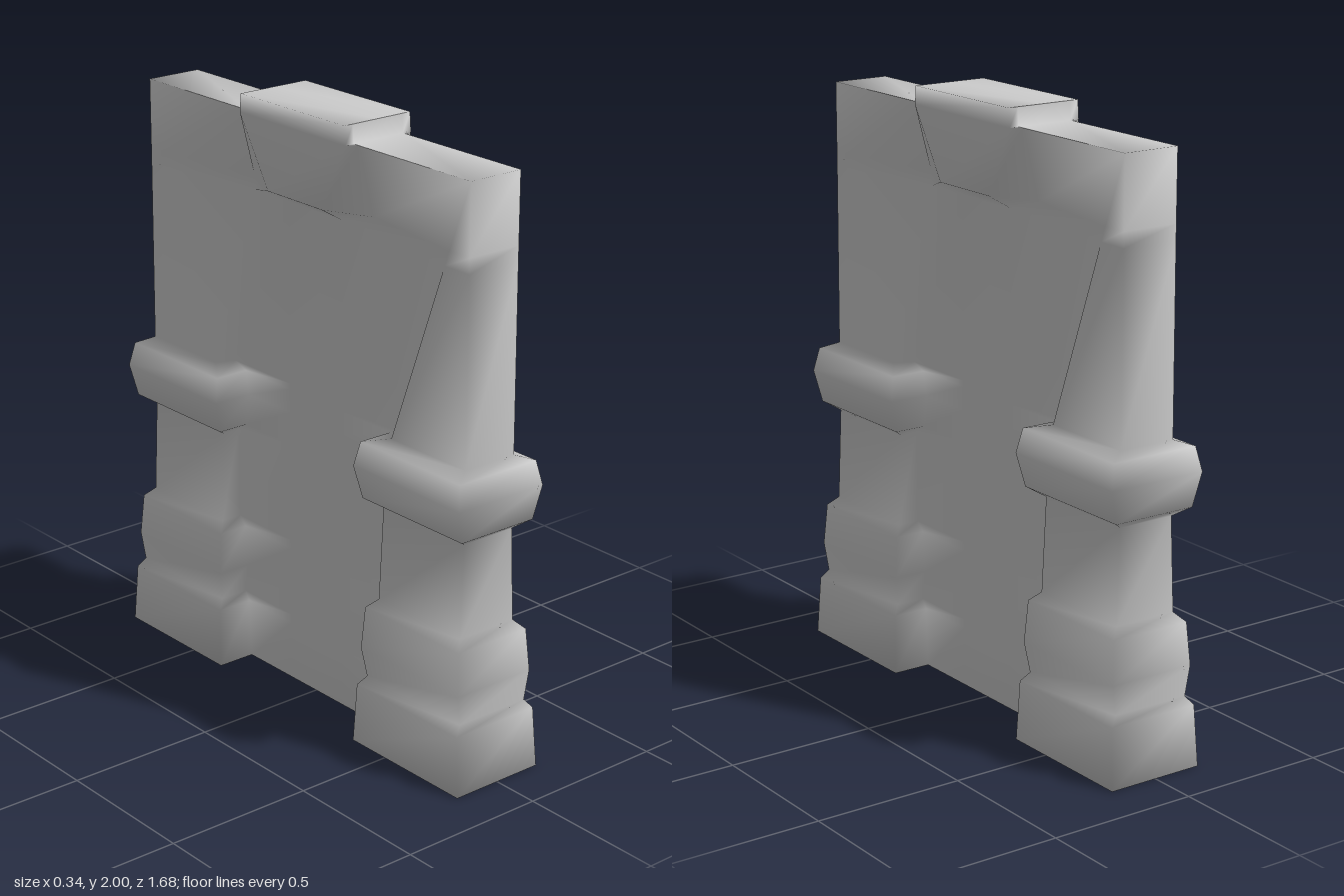
import * as THREE from 'three';
import { mergeVertices } from 'three/addons/utils/BufferGeometryUtils.js';

const EDGE = 0.0975; // half thickness of the rim
const PANEL = 0.035; // half thickness of the sunken panel

// One level of the skin: height, pillar [halfX, inner z, outer z],
// panel border [halfX, z] and keystone corner [halfX, z]
const level = (y, pillar, panel = [PANEL, pillar[1]], key = [panel[0], 0.13]) => ({ y, pillar, panel, key });

// Outline of a level: a quarter of it, mirrored around into a closed loop
function outline({ y, pillar: [px, inner, outer], panel, key }) {
  const quarter = [[px, outer], [px, inner], panel, key];
  const reversed = [...quarter].reverse();
  const mirror = (points, sx, sz) => points.map(([x, z]) => [x * sx, y, z * sz]);
  return [
    ...mirror(quarter, 1, 1),
    ...mirror(reversed, 1, -1),
    ...mirror(quarter, -1, -1),
    ...mirror(reversed, -1, 1),
  ];
}

// Join the outlines into one smoothly shaded skin
function skin(levels) {
  const loops = levels.map(outline);
  const n = loops[0].length;
  const index = [];
  for (let i = 0; i < loops.length - 1; i++) {
    for (let j = 0; j < n; j++) {
      const a = i * n + j;
      const b = i * n + ((j + 1) % n);
      index.push(a, b, b + n, a, b + n, a + n);
    }
  }
  const geometry = new THREE.BufferGeometry();
  geometry.setAttribute('position', new THREE.Float32BufferAttribute(loops.flat(2), 3));
  geometry.setIndex(index);
  const merged = mergeVertices(geometry, 1e-4);
  merged.computeVertexNormals();
  return merged;
}

export function createModel() {
  const levels = [
    // underside, closed along the middle
    level(0, [0, 0.345, 0.84], [0, 0.345]),
    // plinth
    level(0, [0.167, 0.345, 0.84]),
    level(0.2, [0.16, 0.355, 0.825]),
    // rounded base
    level(0.23, [0.135, 0.375, 0.81]),
    level(0.33, [0.15, 0.362, 0.815]),
    level(0.47, [0.14, 0.37, 0.805]),
    // shaft
    level(0.5, [0.11, 0.4, 0.776]),
    level(0.81, [0.098, 0.405, 0.774]),
    // collar
    level(0.84, [0.145, 0.36, 0.815]),
    level(0.95, [0.171, 0.345, 0.828]),
    level(1.03, [0.155, 0.36, 0.813]),
    // rim above the collar, narrowing to the top corner as the panel slopes in
    level(1.05, [0.099, 0.44, 0.774], [PANEL, 0.415]),
    level(1.66, [EDGE, 0.666, 0.7725], [PANEL, 0.3]),
    // keystone growing out of the panel
    level(1.71, [EDGE, 0.685, 0.7725], [0.046, 0.29], [0.12, 0.13]),
    level(1.94, [EDGE, 0.7725, 0.7725], [EDGE, 0.275], [0.13, 0.255]),
    // top edge of the slab, drawn in to the keystone
    level(1.94, [EDGE, 0.255, 0.255], [EDGE, 0.255], [0.13, 0.255]),
    level(2, [EDGE, 0.25, 0.25], [EDGE, 0.25], [0.13, 0.25]),
    // keystone top, closed along the middle
    level(2, [0, 0.25, 0.25], [0, 0.25], [0, 0.25]),
  ];

  const group = new THREE.Group();
  const wall = new THREE.Mesh(skin(levels), new THREE.MeshStandardMaterial({ color: 0xcccccc }));
  wall.name = 'wallWithPillarsAndKeystone';
  group.add(wall);
  return group;
}
